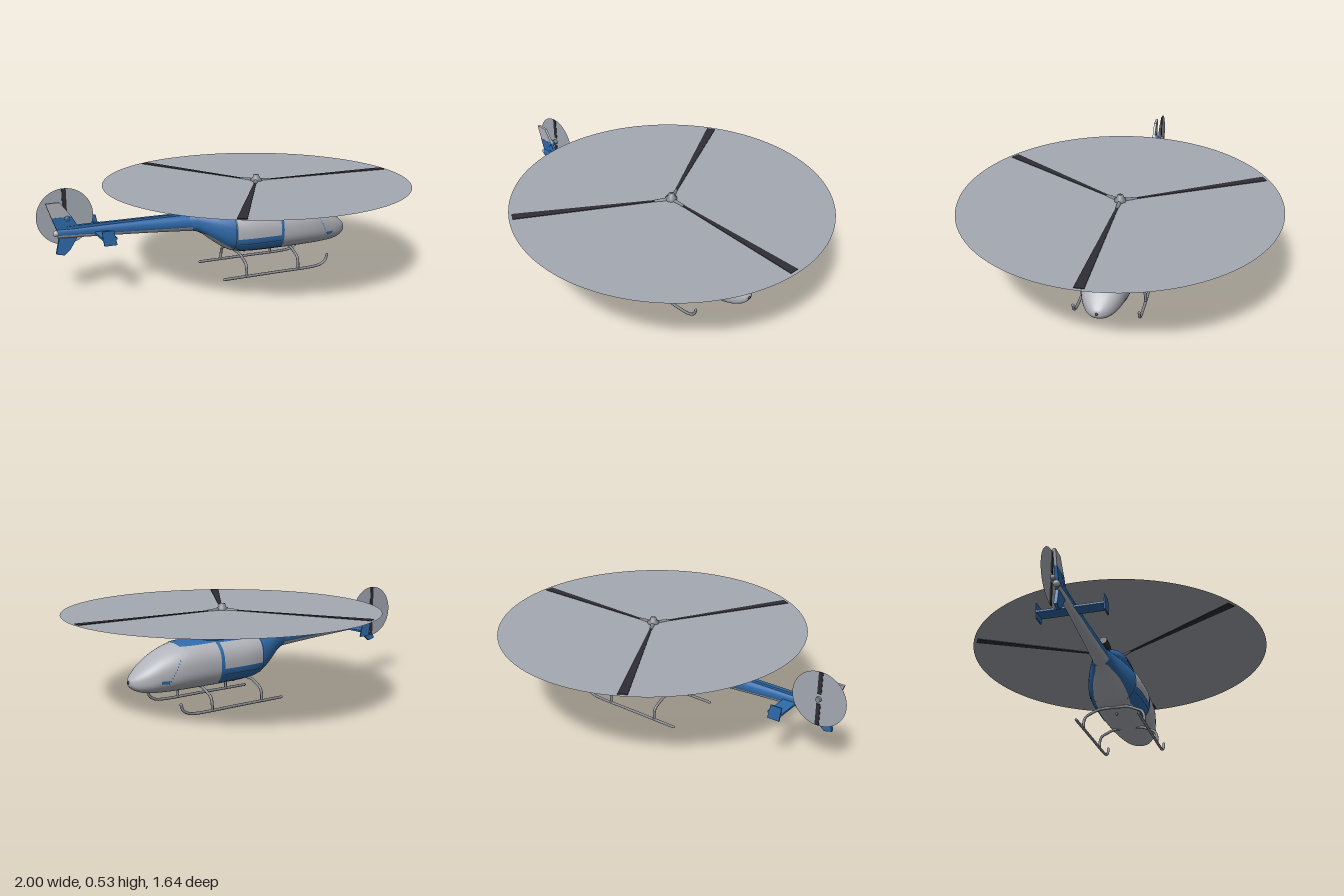
import * as THREE from 'three';
import { mergeVertices } from 'three/addons/utils/BufferGeometryUtils.js';

const mat = (name, color, side = THREE.FrontSide) =>
  Object.assign(new THREE.MeshStandardMaterial({ color, side }), { name });

export function createModel() {
  const model = new THREE.Group();
  const blue = mat('blue paint', 0x2f6bab);
  const grey = mat('light grey paint', 0xb2b4bb);
  const metal = mat('metal', 0x85888f);
  const dark = mat('dark rubber', 0x2f2e35);
  const discMat = mat('rotor disc grey', 0xa4a9b3, THREE.DoubleSide);

  const add = (name, geo, material, x = 0, y = 0, z = 0, parent = model) => {
    const m = new THREE.Mesh(geo, material);
    m.name = name;
    m.position.set(x, y, z);
    parent.add(m);
    return m;
  };

  // A hull is a smooth run of rows [x, bottom, top, half width] with rounded sections.
  const hull = (rows, power) => {
    const curve = new THREE.CubicInterpolant(rows.map(r => r[0]), rows.flatMap(r => r.slice(1)), 3);
    const section = x => {
      const [b, t, w] = curve.evaluate(x);
      return { c: (b + t) / 2, h: Math.max((t - b) / 2, 0), w: Math.max(w, 0) };
    };
    const pw = v => Math.sign(v) * Math.abs(v) ** (2 / power);
    return {
      x0: rows[0][0], x1: rows[rows.length - 1][0],
      point(x, t, grow) {
        const { c, h, w } = section(x);
        return [x, c + (h + grow) * pw(Math.sin(t)), (w + grow) * pw(Math.cos(t))];
      },
      angle(x, y) {
        const { c, h } = section(x);
        const v = THREE.MathUtils.clamp((y - c) / h, -1, 1);
        return Math.sign(v) * Math.asin(Math.abs(v) ** (power / 2));
      },
    };
  };
  // Surface over the hull between two angles that may vary along x.
  const skin = (hl, xa, xb, ta, tb, grow, nx, nt) => {
    const pos = [], index = [];
    for (let i = 0; i <= nx; i++) {
      const x = xa + (xb - xa) * Math.sin(i / nx * Math.PI / 2);
      for (let j = 0; j <= nt; j++)
        pos.push(...hl.point(x, THREE.MathUtils.lerp(ta(x), tb(x), j / nt), grow));
    }
    for (let i = 0; i < nx; i++) for (let j = 0; j < nt; j++) {
      const a = i * (nt + 1) + j, b = a + nt + 1;
      index.push(a, b, a + 1, b, b + 1, a + 1);
    }
    let g = new THREE.BufferGeometry();
    g.setAttribute('position', new THREE.Float32BufferAttribute(pos, 3));
    g.setIndex(index);
    g = mergeVertices(g, 1e-5);
    g.computeVertexNormals();
    return g;
  };
  const whole = (name, hl, material) =>
    add(name, skin(hl, hl.x0, hl.x1, () => 0, () => Math.PI * 2, 0, 60, 48), material);
  // Painted panel between two heights, on both sides.
  const panel = (name, hl, material, xa, xb, low, high, grow = 0.003) => {
    const lo = x => hl.angle(x, low(x)), hi = x => hl.angle(x, high(x));
    add(name + 'Left', skin(hl, xa, xb, lo, hi, grow, 24, 12), material);
    add(name + 'Right', skin(hl, xa, xb, x => Math.PI - hi(x), x => Math.PI - lo(x), grow, 24, 12), material);
  };

  // Cabin
  const cabin = hull([
    [-0.22, 0.255, 0.34, 0.04], [-0.16, 0.235, 0.343, 0.06], [-0.08, 0.175, 0.345, 0.098],
    [0, 0.124, 0.346, 0.126], [0.08, 0.108, 0.347, 0.139], [0.2, 0.103, 0.348, 0.143],
    [0.32, 0.102, 0.348, 0.143], [0.4, 0.102, 0.347, 0.141], [0.48, 0.102, 0.338, 0.134],
    [0.57, 0.104, 0.305, 0.115], [0.65, 0.111, 0.257, 0.088], [0.7, 0.127, 0.217, 0.056],
    [0.722, 0.144, 0.196, 0.033], [0.731, 0.158, 0.184, 0.017], [0.734, 0.17, 0.171, 0.001]], 2.4);
  whole('cabin', cabin, grey);
  const sweep = x => 0.13 + 0.125 * THREE.MathUtils.smoothstep(-x, -0.07, 0.21);
  panel('rearPaint', cabin, blue, -0.22, 0.27, sweep, () => 1);
  panel('roofPaint', cabin, blue, 0.27, 0.48, x => 0.333 - 0.02 * (x - 0.27), () => 1);
  panel('doorPost', cabin, blue, 0.265, 0.28, () => 0.13, () => 0.34, 0.004);
  panel('rearDoor', cabin, grey, 0.012, 0.262, () => 0.205, () => 0.328, 0.006);
  panel('doorSeam', cabin, dark, 0.002, 0.006, () => 0.14, () => 0.328, 0.005);
  panel('sillSeam', cabin, dark, 0.02, 0.262, () => 0.174, () => 0.177, 0.005);
  panel('sidePlate', cabin, blue, 0.565, 0.605, () => 0.165, () => 0.18);
  // Dashed windscreen seam
  for (let i = 0; i < 9; i++) {
    const x = 0.505 + i * 0.0075, y = 0.275 - i * 0.0135;
    panel('screenSeam' + i, cabin, blue, x, x + 0.005, () => y - 0.007, () => y);
  }
  add('noseLight', new THREE.SphereGeometry(0.008, 12, 8), dark, 0.731, 0.172, 0);
  add('bellyAerial', new THREE.CylinderGeometry(0.006, 0.006, 0.02, 10), metal, 0.11, 0.102, 0);

  // Engine cowling with vents and exhaust
  const cowl = hull([
    [-0.21, 0.3, 0.345, 0.025], [-0.14, 0.3, 0.372, 0.05], [-0.07, 0.3, 0.403, 0.066],
    [0, 0.3, 0.426, 0.077], [0.1, 0.3, 0.433, 0.081], [0.22, 0.3, 0.433, 0.081],
    [0.27, 0.3, 0.424, 0.077], [0.31, 0.3, 0.396, 0.064], [0.335, 0.3, 0.362, 0.045],
    [0.35, 0.3, 0.335, 0.02]], 2.2);
  whole('engineCowling', cowl, blue);
  for (let i = 0; i < 5; i++)
    panel('vent' + i, cowl, dark, 0.022 + i * 0.024, 0.039 + i * 0.024, () => 0.368, () => 0.403);
  for (const s of [1, -1]) {
    const pipe = add('exhaust', new THREE.CylinderGeometry(0.02, 0.02, 0.08, 16), dark, -0.215, 0.358, s * 0.026);
    pipe.rotation.z = Math.PI / 2 - 0.1;
  }

  // Tail boom, grey underside and drive shaft cover
  const boom = hull([
    [-0.91, 0.292, 0.336, 0.014], [-0.7, 0.281, 0.337, 0.022],
    [-0.45, 0.267, 0.338, 0.032], [-0.18, 0.248, 0.338, 0.046]], 2.2);
  whole('tailBoom', boom, blue);
  panel('boomUnderside', boom, grey, -0.91, -0.2, () => 0, x => 0.276 - (x + 0.2) * 0.043, 0.002);
  add('driveShaftCover', new THREE.BoxGeometry(0.68, 0.018, 0.022), blue, -0.52, 0.338, 0);
  add('tailCone', new THREE.SphereGeometry(0.016, 16, 12), grey, -0.915, 0.314, 0);

  // Fin
  const plate = (pts, depth) => {
    const g = new THREE.ExtrudeGeometry(new THREE.Shape(pts.map(p => new THREE.Vector2(...p))),
      { depth, bevelEnabled: false });
    return g.translate(0, 0, -depth / 2);
  };
  add('upperFin', plate([[-0.935, 0.395], [-0.835, 0.395], [-0.89, 0.47], [-0.96, 0.47]], 0.014), grey);
  add('lowerFin', plate([[-0.92, 0.21], [-0.88, 0.2], [-0.85, 0.225], [-0.81, 0.29], [-0.81, 0.35],
    [-0.835, 0.395], [-0.935, 0.395], [-0.9, 0.3]], 0.016), blue);

  // Tailplane with end plates
  add('tailplane', new THREE.BoxGeometry(0.072, 0.01, 0.33), blue, -0.69, 0.302, 0);
  for (const s of [1, -1])
    add('endPlate', plate([[-0.73, 0.345], [-0.72, 0.27], [-0.655, 0.27], [-0.67, 0.345]], 0.007),
      blue, 0, 0, s * 0.165);

  // Tail rotor
  const tail = new THREE.Group();
  tail.name = 'tailRotor';
  tail.position.set(-0.857, 0.385, -0.045);
  model.add(tail);
  add('tailDisc', new THREE.CircleGeometry(0.143, 64), discMat, 0, 0, 0, tail);
  for (const s of [1, -1])
    add('tailBlade', new THREE.BoxGeometry(0.022, 0.115, 0.005), dark, 0, s * 0.083, 0, tail);
  add('tailHub', new THREE.CylinderGeometry(0.013, 0.016, 0.055, 16), metal, 0, 0, 0.015, tail).rotation.x = -Math.PI / 2;
  add('tailGearbox', new THREE.SphereGeometry(0.022, 16, 12), blue, 0, 0, 0.036, tail);

  // Main rotor
  const rotor = new THREE.Group();
  rotor.name = 'mainRotor';
  rotor.position.set(0.178, 0.482, 0);
  model.add(rotor);
  add('mainDisc', new THREE.CircleGeometry(0.822, 96), discMat, 0, 0, 0, rotor).rotation.x = -Math.PI / 2;
  add('hub', new THREE.LatheGeometry([[0.001, -0.06], [0.024, -0.06], [0.015, -0.02], [0.03, -0.012],
    [0.03, 0.01], [0.019, 0.016], [0.016, 0.032], [0.001, 0.034]].map(p => new THREE.Vector2(...p)), 20),
    metal, 0, 0, 0, rotor);
  for (let i = 0; i < 3; i++) {
    const arm = new THREE.Group();
    arm.name = 'rotorArm';
    arm.rotation.y = -i * Math.PI * 2 / 3;
    rotor.add(arm);
    const grip = add('bladeGrip', new THREE.CylinderGeometry(0.007, 0.013, 0.09, 12), metal, 0.045, 0, 0, arm);
    grip.rotation.z = -Math.PI / 2;
    const blade = plate([[0.075, -0.006], [0.805, -0.036], [0.805, 0.012], [0.075, 0.006]], 0.006);
    add('blade', blade.rotateX(-Math.PI / 2), dark, 0, 0, 0, arm);
  }

  // Landing skids and cross tubes
  const tube = (name, pts, r) => {
    const path = new THREE.CatmullRomCurve3(pts.map(p => new THREE.Vector3(...p)), false, 'centripetal');
    add(name, new THREE.TubeGeometry(path, 48, r, 10), metal);
    for (const p of [pts[0], pts[pts.length - 1]])
      add(name + 'End', new THREE.SphereGeometry(r, 10, 8), metal, ...p);
  };
  for (const s of [1, -1]) {
    const z = s * 0.167;
    tube('skid', [[-0.085, 0.008, z], [0.2, 0.008, z], [0.44, 0.008, z], [0.49, 0.014, z],
      [0.525, 0.035, z], [0.537, 0.066, z]], 0.0075);
    for (const x of [0.045, 0.355])
      tube('crossTube', [[x, 0.01, z], [x, 0.045, s * 0.166], [x, 0.073, s * 0.155],
        [x, 0.093, s * 0.12], [x, 0.108, s * 0.08], [x, 0.112, 0]], 0.0075);
  }
  return model;
}
